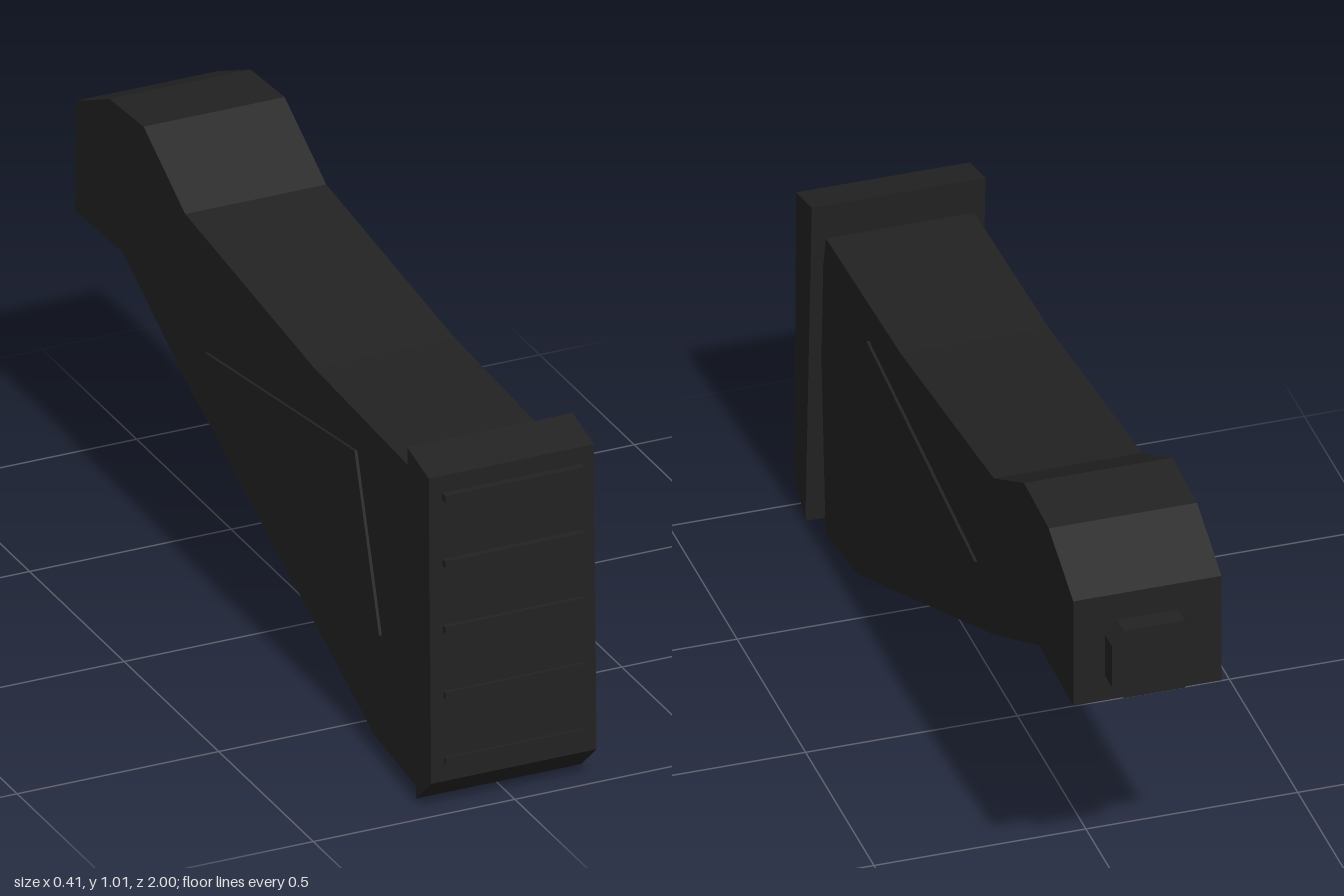
import * as THREE from 'three';

// Extrudes a side profile of [z, y] points across x, centred on x = 0.
function sideExtrude(points, width) {
  const shape = new THREE.Shape(points.map(([z, y]) => new THREE.Vector2(z, y)));
  const geo = new THREE.ExtrudeGeometry(shape, { depth: width, bevelEnabled: false });
  geo.translate(0, 0, -width / 2);
  geo.rotateY(-Math.PI / 2);
  return geo;
}

export function createModel() {
  const group = new THREE.Group();
  group.name = 'shoulderStock';
  const black = new THREE.MeshStandardMaterial({ color: 0x222222 });
  black.name = 'matteBlack';

  const add = (name, geo) => {
    const mesh = new THREE.Mesh(geo, black);
    mesh.name = name;
    group.add(mesh);
    return mesh;
  };

  // Main body with raised neck at the back
  add('body', sideExtrude([
    [0.86, 0.003], [0.89, 0.45], [0.878, 0.70], [0.857, 0.79],
    [0.31, 0.812], [-0.37, 0.89], [-0.59, 1.01], [-0.77, 0.998], [-0.95, 0.912],
    [-0.95, 0.635], [-0.70, 0.645], [-0.37, 0.475], [0.63, 0.035],
  ], 0.35));

  // Butt pad
  add('buttPad', sideExtrude([
    [0.915, 0.01], [0.995, 0.083], [0.982, 0.843], [0.868, 0.87],
  ], 0.41));

  // Grip ribs across the pad face
  for (let i = 0; i < 5; i++) {
    const rib = add('gripRib', new THREE.BoxGeometry(0.345, 0.017, 0.02));
    rib.position.set(0, 0.134 + i * 0.1645, 0.99);
  }

  // Raised side panels
  for (const side of [-1, 1]) {
    const panel = add('sidePanel', sideExtrude([
      [-0.25, 0.597], [0.06, 0.346], [0.67, 0.303], [0.54, 0.708],
    ], 0.012));
    panel.position.x = side * 0.176;
  }

  // Chamfered mounting lug on the back
  const w = 0.1, b = 0.665, t = 0.843, cx = 0.028, cy = 0.035;
  const lugShape = new THREE.Shape([
    [-w + cx, b], [w - cx, b], [w, b + cy], [w, t - cy],
    [w - cx, t], [-w + cx, t], [-w, t - cy], [-w, b + cy],
  ].map(([x, y]) => new THREE.Vector2(x, y)));
  const lug = add('mountingLug', new THREE.ExtrudeGeometry(lugShape, { depth: 0.06, bevelEnabled: false }));
  lug.position.z = -1;

  return group;
}
